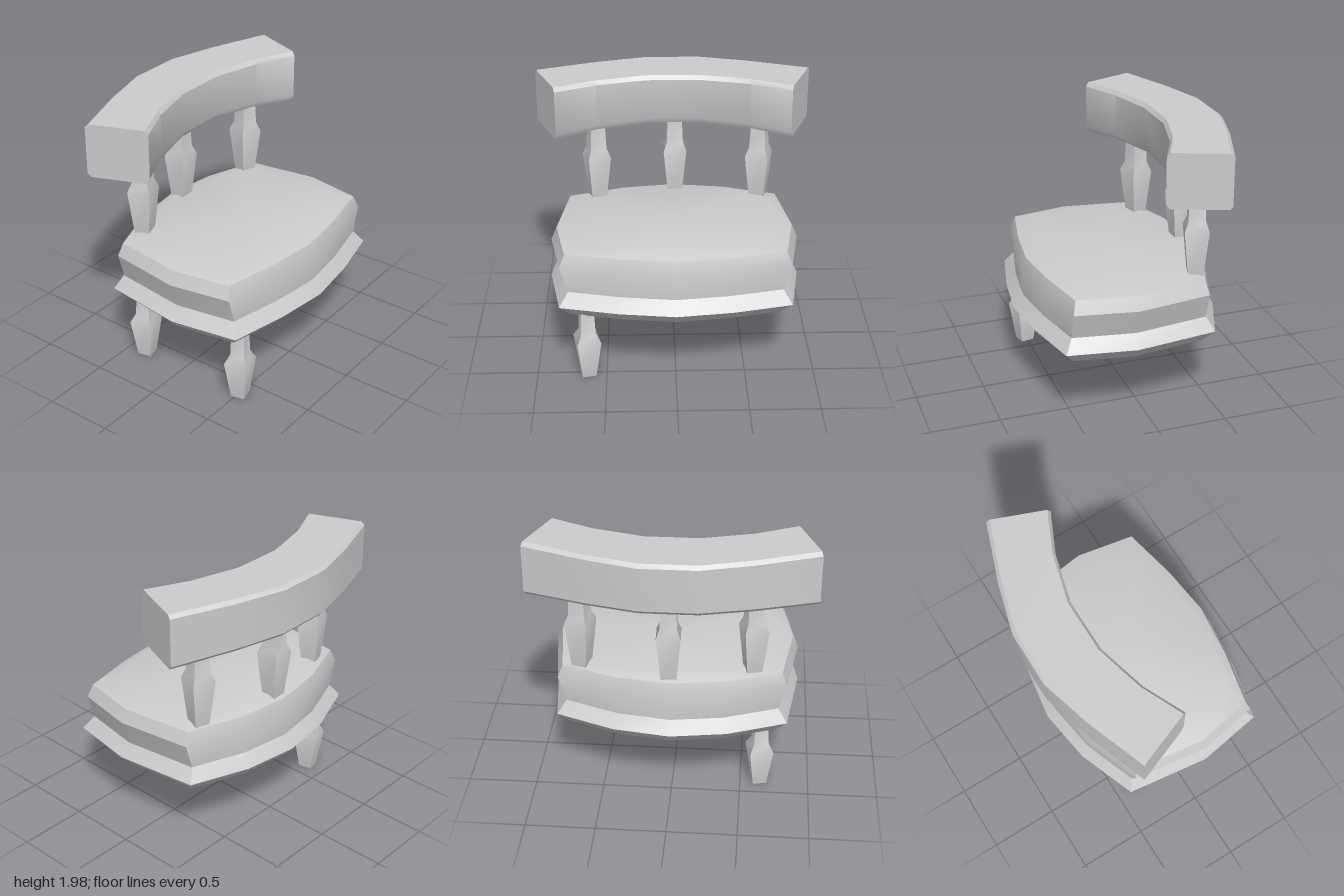
import * as THREE from 'three';
import { toCreasedNormals } from 'three/addons/utils/BufferGeometryUtils.js';

const grey = new THREE.MeshStandardMaterial({ color: 0xcccccc });
const greyOpen = new THREE.MeshStandardMaterial({ color: 0xcccccc, side: THREE.DoubleSide });

// Skin a series of closed rings; rings run counter-clockwise seen from the last one.
function loft(rings, capStart, capEnd) {
  const pos = [];
  const tri = (...pts) => pts.forEach((p) => pos.push(...p));
  const n = rings[0].length;
  for (let r = 0; r < rings.length - 1; r++) {
    const a = rings[r], b = rings[r + 1];
    for (let i = 0; i < n; i++) {
      const j = (i + 1) % n;
      tri(a[i], a[j], b[j]);
      tri(a[i], b[j], b[i]);
    }
  }
  const cap = (ring, flip) => {
    const c = [0, 1, 2].map((k) => ring.reduce((s, p) => s + p[k], 0) / n);
    ring.forEach((p, i) => {
      const q = ring[(i + 1) % n];
      if (flip) tri(c, q, p);
      else tri(c, p, q);
    });
  };
  if (capStart) cap(rings[0], true);
  if (capEnd) cap(rings[rings.length - 1], false);
  const g = new THREE.BufferGeometry();
  g.setAttribute('position', new THREE.Float32BufferAttribute(pos, 3));
  return toCreasedNormals(g, 0.6);
}

function part(name, geometry, material = grey) {
  const mesh = new THREE.Mesh(geometry, material);
  mesh.name = name;
  return mesh;
}

// Square turned post from [height, half width] pairs.
function post(name, profile, x, z, turn) {
  const rings = profile.map(([y, h]) =>
    [0, 1, 2, 3].map((i) => {
      const a = (i + 0.5) * Math.PI / 2;
      return [Math.SQRT2 * h * Math.cos(a), y, -Math.SQRT2 * h * Math.sin(a)];
    }));
  const mesh = part(name, loft(rings, true, true));
  mesh.position.set(x, 0, z);
  mesh.rotation.y = turn;
  return mesh;
}

// Hollow seat shell, open below: one bowed outline, scaled at each height.
function seat() {
  const half = [[0, 0.75], [0.4, 0.7], [0.82, 0.605], [0.9, 0.12], [0.82, -0.48], [0.4, -0.64], [0, -0.7]];
  const mirrored = half.slice(1, -1).reverse().map(([x, z]) => [-x, z]);
  const outline = [...half, ...mirrored];
  // height, inset at the sides, inset at front and back
  const levels = [
    [0.51, 0.09, 0.09], [0.605, 0, 0], [0.7, 0.07, 0.07], [0.89, 0.01, 0.07],
    [0.985, 0.05, 0.1], [1.015, 0.2, 0.17],
  ];
  const rings = levels.map(([y, dx, dz]) =>
    outline.map(([x, z]) => [x * (1 - dx / 0.9), y, z * (1 - dz / 0.73)]));
  return part('seat', loft(rings, false, true), greyOpen);
}

// Curved top rail: a chamfered block section swept round the back.
function topRail() {
  // section as [depth from front to back, height]
  const section = [
    [0, 1.65], [0, 1.945], [0.05, 1.975], [0.94, 1.975],
    [1, 1.95], [1, 1.635], [0.95, 1.61], [0.05, 1.61],
  ];
  // stations: front x, front z, back x, back z, drop of the underside
  const stations = [[0.84, -0.085, 1, -0.495, 0.025], [0.55, -0.22, 0.56, -0.655, 0.01], [0.19, -0.315, 0.2, -0.755, 0]];
  const path = [...stations, ...stations.slice().reverse().map(([a, b, c, d, e]) => [-a, b, -c, d, e])];
  const rings = path.map(([fx, fz, bx, bz, drop]) =>
    section.map(([t, y]) => [fx + (bx - fx) * t, y < 1.8 ? y - drop : y, fz + (bz - fz) * t]));
  return part('topRail', loft(rings, true, true));
}

export function createModel() {
  const model = new THREE.Group();
  model.name = 'chair';
  model.add(seat(), topRail());

  // Back spindles, turned to follow the curve
  const spindle = [[0.97, 0.052], [1.33, 0.085], [1.4, 0.06], [1.66, 0.05]];
  model.add(
    post('leftSpindle', spindle, 0.64, -0.39, -0.3),
    post('middleSpindle', spindle, 0.015, -0.52, 0.04),
    post('rightSpindle', spindle, -0.565, -0.39, 0.3),
  );

  // Legs, both on the right side
  const leg = [[0, 0.05], [0.29, 0.086], [0.36, 0.053], [0.66, 0.042]];
  model.add(
    post('frontLeg', leg, -0.635, 0.51, 0.22),
    post('backLeg', leg, -0.635, -0.35, 0.22),
  );
  return model;
}
